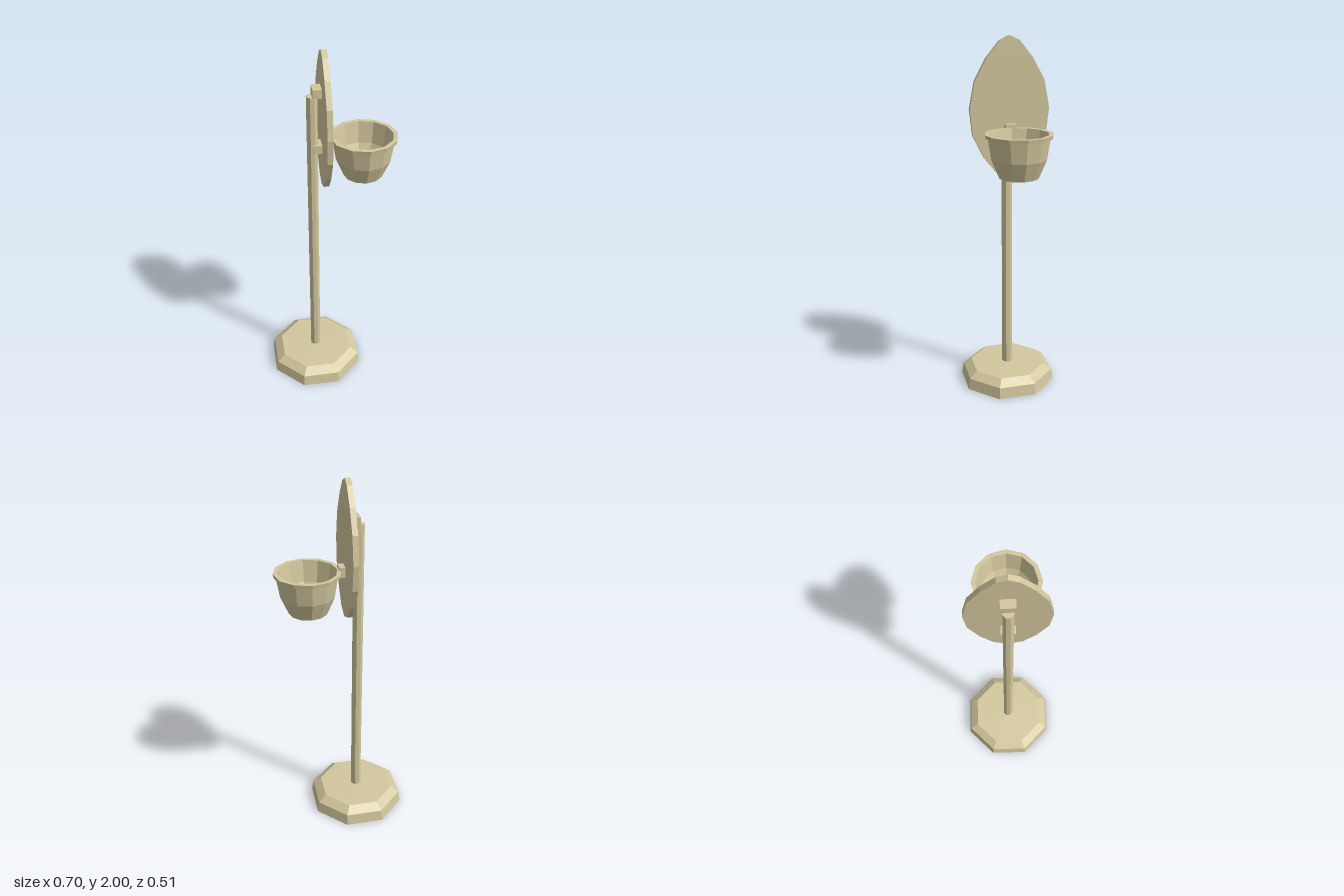
import * as THREE from 'three';

const tan = new THREE.MeshStandardMaterial({ color: 0xd2c79d, flatShading: true });
tan.name = 'tan';

export function createModel() {
  const group = new THREE.Group();

  const add = (name, geometry, x = 0, y = 0, z = 0) => {
    const mesh = new THREE.Mesh(geometry, tan);
    mesh.name = name;
    mesh.position.set(x, y, z);
    group.add(mesh);
  };
  const lathe = (profile, sides, phi = 0) =>
    new THREE.LatheGeometry(profile.map(([r, y]) => new THREE.Vector2(r, y)), sides, phi);
  // Circumradius of an octagon from its flat-to-centre distance
  const oct = (apothem) => apothem / Math.cos(Math.PI / 8);

  const poleX = -0.095;

  // Bevelled octagonal foot with a very shallow peak
  add('base', lathe([[0, 0], [oct(0.256), 0], [oct(0.246), 0.064], [oct(0.202), 0.1], [0, 0.105]], 8, Math.PI / 8), poleX);

  // Octagonal pole
  add('pole', lathe([[0, 0.09], [oct(0.027), 0.09], [oct(0.027), 1.765], [0, 1.765]], 8, Math.PI / 8), poleX);

  // Two blocks holding the backboard to the pole
  add('upperBracket', new THREE.BoxGeometry(0.047, 0.046, 0.074), -0.0715, 1.787);
  add('lowerBracket', new THREE.BoxGeometry(0.047, 0.046, 0.074), -0.0715, 1.482);

  // Leaf-shaped backboard, mirrored about its centre line
  const half = [[0.075, 1.283], [0.14, 1.365], [0.2, 1.487], [0.215, 1.625], [0.187, 1.772], [0.122, 1.89], [0.052, 1.975]];
  const outline = [[0, 1.255], ...half, [0, 2], ...half.map(([z, y]) => [-z, y]).reverse()];
  const board = new THREE.ExtrudeGeometry(
    new THREE.Shape(outline.map(([z, y]) => new THREE.Vector2(z, y))),
    { depth: 0.029, bevelEnabled: false }
  );
  board.rotateY(Math.PI / 2);
  add('backboard', board, -0.049);

  // Block joining the bowl to the backboard
  add('bowlBracket', new THREE.BoxGeometry(0.032, 0.055, 0.06), -0.004, 1.518);

  // Twelve-sided bowl with a flared rim and hollow inside
  add('bowl', lathe([
    [0, 1.29], [0.104, 1.3], [0.146, 1.4], [0.163, 1.508], [0.174, 1.508], [0.178, 1.528],
    [0.155, 1.528], [0.136, 1.41], [0.094, 1.318], [0, 1.31],
  ], 12), 0.172);

  return group;
}
